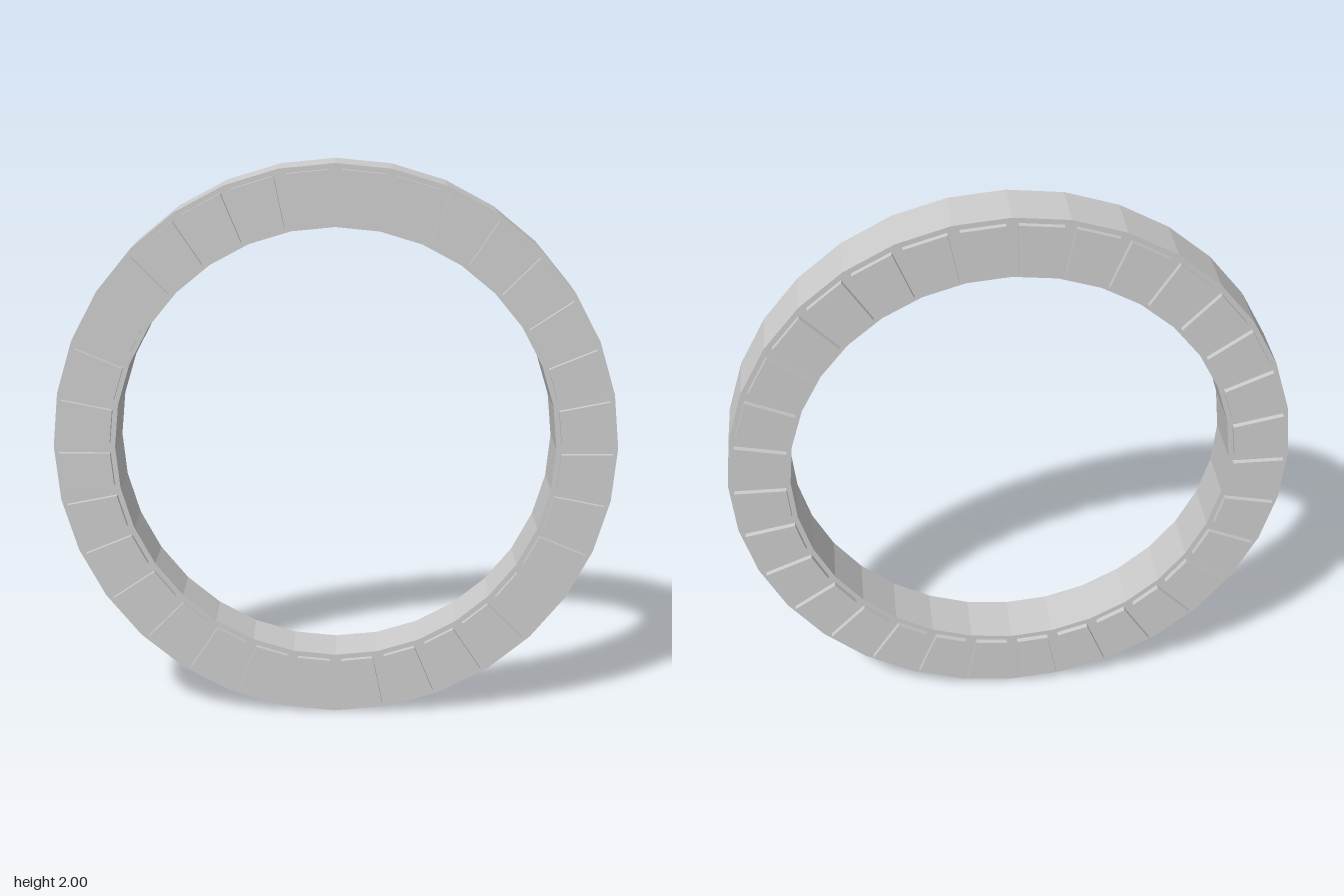
import * as THREE from 'three';

const SIDES = 32, OUTER = 1, INNER = 0.782, HALF_DEPTH = 0.1;
const PANEL_HEIGHT = 0.02, INSET = 0.02;

// Regular polygon with a vertex at the top
function polygon(radius) {
  return Array.from({ length: SIDES }, (_, i) => {
    const a = Math.PI / 2 + (i * 2 * Math.PI) / SIDES;
    return new THREE.Vector2(radius * Math.cos(a), radius * Math.sin(a));
  });
}

export function createModel() {
  const group = new THREE.Group();
  group.name = 'panelledRing';
  const material = new THREE.MeshStandardMaterial({ color: 0xcccccc, flatShading: true });

  // Faceted ring body
  const ringShape = new THREE.Shape(polygon(OUTER));
  ringShape.holes.push(new THREE.Path(polygon(INNER)));
  const ringGeometry = new THREE.ExtrudeGeometry(ringShape, { depth: 2 * HALF_DEPTH, bevelEnabled: false });
  ringGeometry.translate(0, 0, -HALF_DEPTH);
  const ring = new THREE.Mesh(ringGeometry, material);
  ring.name = 'ringBody';
  group.add(ring);

  // Raised panel: one ring segment shrunk by an even margin
  const half = Math.PI / SIDES;
  const r0 = INNER * Math.cos(half) + 0.018;
  const r1 = OUTER * Math.cos(half) - 0.018;
  const halfWidth = (r) => r * Math.tan(half) - INSET / Math.cos(half);
  const panelShape = new THREE.Shape([
    new THREE.Vector2(-halfWidth(r0), r0),
    new THREE.Vector2(halfWidth(r0), r0),
    new THREE.Vector2(halfWidth(r1), r1),
    new THREE.Vector2(-halfWidth(r1), r1),
  ]);
  const panelGeometry = new THREE.ExtrudeGeometry(panelShape, { depth: PANEL_HEIGHT, bevelEnabled: false });
  panelGeometry.translate(0, 0, HALF_DEPTH);

  // Panels around the front and back faces
  for (const side of ['front', 'back']) {
    const panels = new THREE.Group();
    panels.name = side + 'Panels';
    for (let i = 0; i < SIDES; i++) {
      const panel = new THREE.Mesh(panelGeometry, material);
      panel.name = side + 'Panel';
      panel.rotation.z = (2 * i + 1) * half;
      panels.add(panel);
    }
    if (side === 'back') panels.rotation.y = Math.PI;
    group.add(panels);
  }

  group.position.y = OUTER;
  const model = new THREE.Group();
  model.add(group);
  return model;
}
